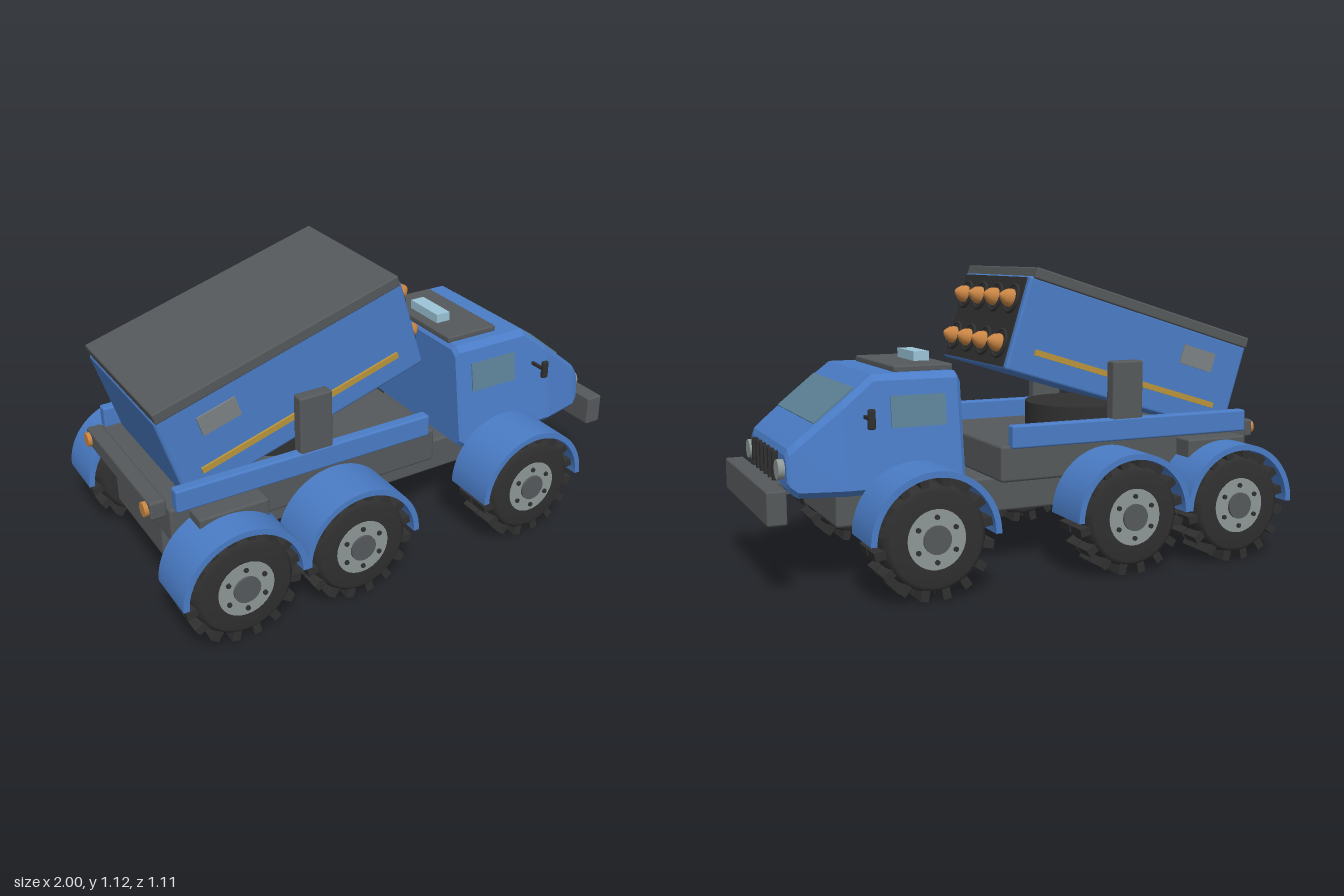
import * as THREE from 'three';
import { RoundedBoxGeometry } from 'three/addons/geometries/RoundedBoxGeometry.js';

const mat = (name, color) => Object.assign(new THREE.MeshStandardMaterial({ color }), { name });

export function createModel() {
  const blue = mat('bodyBlue', 0x4a7cc6), grey = mat('frameGrey', 0x56595b), rubber = mat('rubber', 0x303030),
    metal = mat('metal', 0x8e9896), bronze = mat('bronze', 0xc98544), gold = mat('gold', 0xb8943c),
    glass = mat('glass', 0x5c8296), lamp = mat('paleGlass', 0x9cc4d8), panel = mat('panelGrey', 0x7c8285);
  const model = new THREE.Group();
  model.name = 'launcherTruck';

  const add = (parent, name, geo, material, x = 0, y = 0, z = 0) => {
    const m = new THREE.Mesh(geo, material);
    m.name = name;
    m.position.set(x, y, z);
    parent.add(m);
    return m;
  };
  // Box given by its limits; r > 0 rounds the edges
  const box = (parent, name, material, [x0, x1], [y0, y1], [z0, z1], r = 0) => {
    const s = [x1 - x0, y1 - y0, z1 - z0];
    const geo = r ? new RoundedBoxGeometry(...s, 2, r) : new THREE.BoxGeometry(...s);
    return add(parent, name, geo, material, (x0 + x1) / 2, (y0 + y1) / 2, (z0 + z1) / 2);
  };
  // Cylinder along x or z
  const rod = (parent, name, material, axis, r, len, x, y, z, seg = 24) => {
    const geo = new THREE.CylinderGeometry(r, r, len, seg);
    if (axis === 'z') geo.rotateX(Math.PI / 2); else geo.rotateZ(-Math.PI / 2);
    return add(parent, name, geo, material, x, y, z);
  };
  const span = (c, w) => [c - w / 2, c + w / 2];

  // Frame and rear deck
  box(model, 'chassis', grey, [-0.92, 0.73], [0.21, 0.345], [-0.225, 0.225], 0.012);
  box(model, 'rearDeck', grey, [-0.93, 0.147], [0.345, 0.48], [-0.345, 0.345], 0.012);
  box(model, 'frontBumper', grey, [0.93, 1], [0.27, 0.39], [-0.345, 0.345], 0.008);
  box(model, 'bumperMount', grey, [0.7, 0.94], [0.345, 0.385], [-0.2, 0.2]);
  box(model, 'rearBeam', grey, [-0.985, -0.925], [0.435, 0.505], [-0.31, 0.31], 0.01);
  for (const s of [1, -1]) {
    box(model, 'deckRail', blue, [-0.91, 0.11], [0.47, 0.555], span(s * 0.34, 0.045), 0.008);
    box(model, 'toolBox', grey, [-0.86, -0.6], [0.37, 0.465], span(s * 0.385, 0.09), 0.008);
    box(model, 'launcherBracket', grey, [-0.435, -0.305], [0.5, 0.77], span(s * 0.335, 0.05), 0.008);
    rod(model, 'tailLamp', bronze, 'x', 0.027, 0.02, -0.99, 0.47, s * 0.275, 16);
  }
  add(model, 'turntable', new THREE.CylinderGeometry(0.23, 0.23, 0.1, 40), rubber, -0.37, 0.53, 0);

  // Wheels with fenders, built facing +z
  const tyreProfile = [[0.09, -0.092], [0.165, -0.092], [0.183, -0.078], [0.188, -0.04],
    [0.188, 0.04], [0.183, 0.078], [0.165, 0.092], [0.09, 0.092]].map(p => new THREE.Vector2(...p));
  const tyreGeo = new THREE.LatheGeometry(tyreProfile, 40).rotateX(Math.PI / 2);
  const arch = new THREE.Shape();
  arch.absarc(0, 0, 0.235, 0, Math.PI, false);
  arch.absarc(0, 0, 0.213, Math.PI, 0, true);
  const fenderGeo = new THREE.ExtrudeGeometry(arch, { depth: 0.21, bevelEnabled: false, curveSegments: 32 });
  const lugGeo = new THREE.BoxGeometry(0.03, 0.05, 0.075);

  const buildWheel = (x, side) => {
    const w = new THREE.Group();
    w.name = 'wheel';
    w.position.set(x, 0.22, side * 0.45);
    if (side < 0) w.rotation.y = Math.PI;
    add(w, 'tyre', tyreGeo, rubber);
    for (const z of [-0.043, 0.043]) for (let i = 0; i < 16; i++) {
      const a = (i + 0.5) * Math.PI / 8;
      add(w, 'treadLug', lugGeo, rubber, Math.sin(a) * 0.194, Math.cos(a) * 0.194, z).rotation.z = -a;
    }
    rod(w, 'rim', metal, 'z', 0.105, 0.188, 0, 0, 0, 32);
    rod(w, 'hubCap', grey, 'z', 0.05, 0.2, 0, 0, 0.003);
    for (let i = 0; i < 6; i++) {
      const a = i * Math.PI / 3 + Math.PI / 6;
      rod(w, 'wheelBolt', rubber, 'z', 0.009, 0.01, Math.cos(a) * 0.078, Math.sin(a) * 0.078, 0.096, 8);
    }
    add(w, 'fender', fenderGeo, blue, 0, 0, -0.105);
    model.add(w);
  };
  for (const x of [-0.755, -0.295, 0.475]) {
    buildWheel(x, 1);
    buildWheel(x, -1);
    rod(model, 'axle', metal, 'z', 0.027, 0.76, x, 0.22, 0);
  }

  // Cab lofted along x: [x, bottom, top, width factor]
  const halfWidth = y => 0.345 - 0.15 * (y - 0.345);
  const sections = [[0.28, 0.355, 0.738, 0.96], [0.295, 0.345, 0.755, 1], [0.605, 0.345, 0.755, 1],
    [0.72, 0.345, 0.664, 1], [0.88, 0.345, 0.535, 0.89], [0.905, 0.365, 0.513, 0.86], [0.914, 0.38, 0.49, 0.84]]
    .map(([x, b, t, k]) => {
      const c = 0.022, h = y => halfWidth(y) * k;
      const right = [[h(b) - c, b], [h(b + c), b + c], [h(t - c), t - c], [h(t) - c, t]];
      return [...right.slice().reverse().map(([z, y]) => [x, y, z]), ...right.map(([z, y]) => [x, y, -z])];
    });
  const pos = [];
  const tri = (...p) => p.forEach(v => pos.push(...v));
  for (let s = 0; s < sections.length - 1; s++) {
    const a = sections[s], b = sections[s + 1];
    for (let i = 0; i < 8; i++) {
      const j = (i + 1) % 8;
      tri(a[i], a[j], b[j]);
      tri(a[i], b[j], b[i]);
    }
  }
  const back = sections[0], front = sections[sections.length - 1];
  for (let i = 1; i < 7; i++) {
    tri(front[0], front[i], front[i + 1]);
    tri(back[0], back[i + 1], back[i]);
  }
  const cabGeo = new THREE.BufferGeometry();
  cabGeo.setAttribute('position', new THREE.Float32BufferAttribute(pos, 3));
  cabGeo.computeVertexNormals();
  add(model, 'cab', cabGeo, blue);

  // Cab details
  box(model, 'roofPanel', grey, [0.285, 0.51], [0.75, 0.777], [-0.225, 0.225], 0.008);
  box(model, 'roofLamp', lamp, [0.325, 0.385], [0.777, 0.812], [-0.09, 0.09]);
  const slope = Math.atan2(0.664 - 0.535, 0.16);
  add(model, 'windscreen', new THREE.BoxGeometry(0.185, 0.009, 0.51), glass, 0.738, 0.651, 0).rotation.z = -slope;
  for (let i = 0; i < 6; i++)
    box(model, 'grilleSlot', rubber, [0.9, 0.935], [0.39, 0.492], span((i - 2.5) * 0.0615, 0.02));
  for (const s of [1, -1]) {
    rod(model, 'headlight', metal, 'x', 0.035, 0.04, 0.917, 0.44, s * 0.225);
    add(model, 'sideWindow', new THREE.BoxGeometry(0.205, 0.112, 0.009), glass, 0.447, 0.625, s * 0.304)
      .rotation.x = -s * 0.149;
    box(model, 'mirror', rubber, [0.63, 0.657], [0.58, 0.65], span(s * 0.377, 0.018), 0.006);
    box(model, 'mirrorArm', rubber, [0.638, 0.649], [0.608, 0.62], span(s * 0.335, 0.08));
  }

  // Tilted launcher
  const launcher = new THREE.Group();
  launcher.name = 'launcher';
  launcher.position.set(-0.417, 0.775, 0);
  launcher.rotation.z = 17 * Math.PI / 180;
  model.add(launcher);
  box(launcher, 'launcherBody', blue, [-0.5, 0.5], [-0.177, 0.177], [-0.305, 0.305], 0.012);
  box(launcher, 'launcherLid', grey, [-0.495, 0.488], [0.17, 0.212], [-0.316, 0.316], 0.006);
  box(launcher, 'tubePanel', rubber, [0.495, 0.506], [-0.168, 0.168], [-0.28, 0.28]);
  for (const s of [1, -1]) {
    box(launcher, 'sideStripe', gold, span(-0.004, 0.82), span(-0.085, 0.022), span(s * 0.308, 0.012));
    box(launcher, 'sidePlate', panel, span(-0.288, 0.15), span(0.074, 0.075), span(s * 0.307, 0.01));
  }
  // Rocket tubes and noses
  const noseGeo = new THREE.LatheGeometry([[0.034, 0], [0.034, 0.012], [0.027, 0.03], [0.012, 0.046], [0, 0.052]]
    .map(p => new THREE.Vector2(...p)), 20).rotateZ(-Math.PI / 2);
  const ringGeo = new THREE.TorusGeometry(0.051, 0.007, 8, 28).rotateY(Math.PI / 2);
  for (const y of [-0.085, 0.085]) for (let i = 0; i < 4; i++) {
    const z = (i - 1.5) * 0.143;
    add(launcher, 'tubeRing', ringGeo, rubber, 0.51, y, z);
    rod(launcher, 'tubeMouth', rubber, 'x', 0.05, 0.01, 0.507, y, z);
    add(launcher, 'rocketNose', noseGeo, bronze, 0.51, y, z);
  }
  return model;
}
